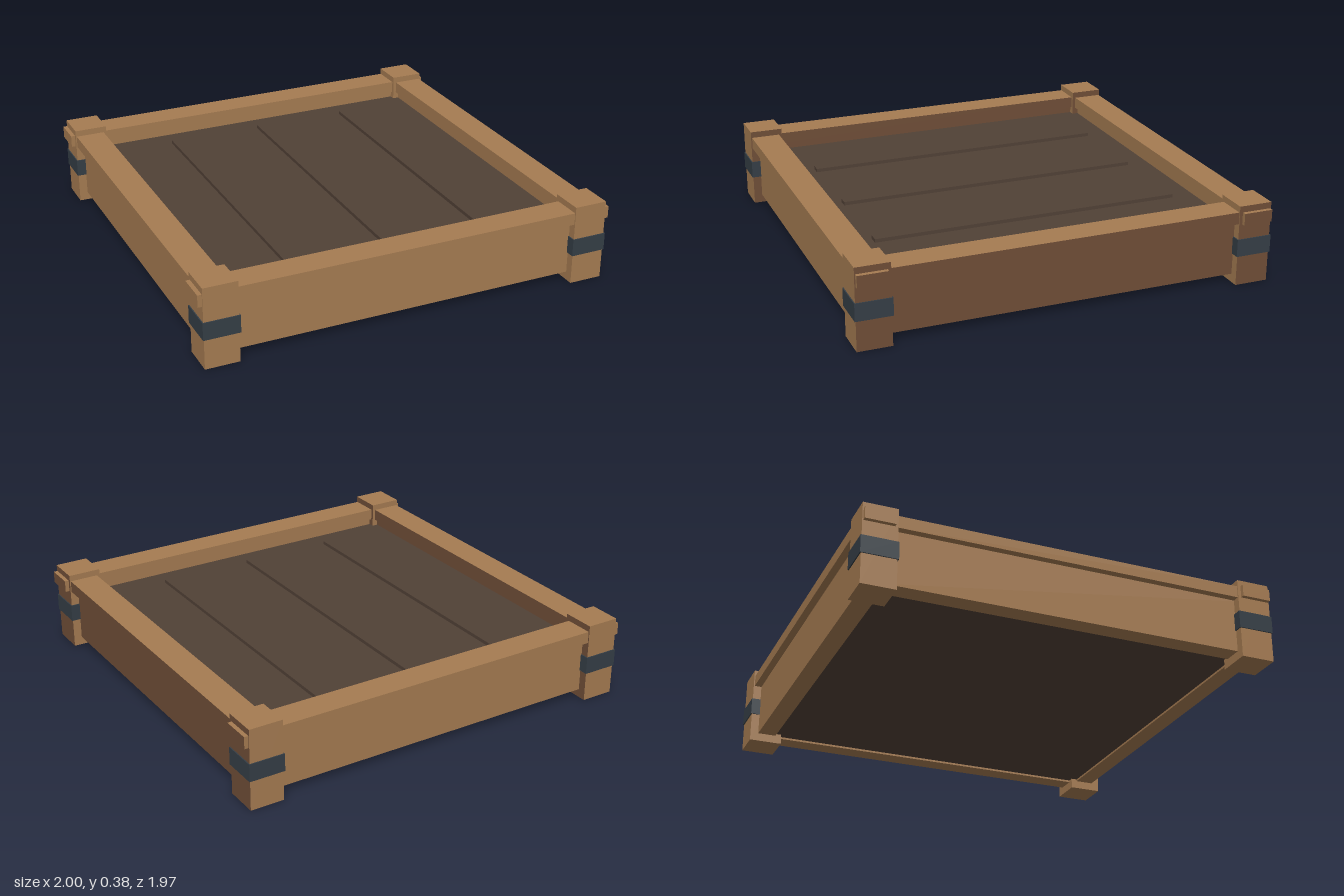
import * as THREE from 'three';

export function createModel() {
  const mat = (name, color) => {
    const m = new THREE.MeshStandardMaterial({ color });
    m.name = name;
    return m;
  };
  const wood = mat('wood', 0xa67c52);
  const darkWood = mat('darkWood', 0x6f4e37);
  const soil = mat('soil', 0x514136);
  const metal = mat('metal', 0x353e46);
  // timber has a darker grain on its +x face
  const timber = [darkWood, wood, wood, wood, wood, wood];

  const model = new THREE.Group();
  model.name = 'raisedBed';

  // box given by its size, centre x and z, and its bottom and top heights
  const box = (name, material, w, d, x, z, y0, y1) => {
    const mesh = new THREE.Mesh(new THREE.BoxGeometry(w, y1 - y0, d), material);
    mesh.name = name;
    mesh.position.set(x, (y0 + y1) / 2, z);
    model.add(mesh);
  };

  // corner posts with metal bands
  for (const sx of [-1, 1]) {
    for (const sz of [-1, 1]) {
      box('cornerPost', timber, 0.16, 0.16, sx * 0.9, sz * 0.9, 0, 0.385);
      box('metalBand', metal, 0.17, 0.17, sx * 0.9, sz * 0.9, 0.142, 0.225);
    }
  }

  // wall boards and cap rails
  for (const s of [-1, 1]) {
    box('longBoard', timber, 1.72, 0.09, 0, s * 0.895, 0.04, 0.3);
    box('sideBoard', timber, 0.09, 1.72, s * 0.895, 0, 0.04, 0.3);
    box('longRail', timber, 2, 0.14, 0, s * 0.905, 0.298, 0.355);
    box('sideRail', timber, 0.14, 1.67, s * 0.905, 0, 0.298, 0.355);
  }

  // soil bed with raised ridges
  box('soilBed', soil, 1.72, 1.72, 0, 0, 0.05, 0.265);
  for (const x of [-0.475, 0, 0.475]) {
    box('soilRidge', soil, 0.05, 1.48, x, 0, 0.255, 0.282);
  }

  return model;
}
